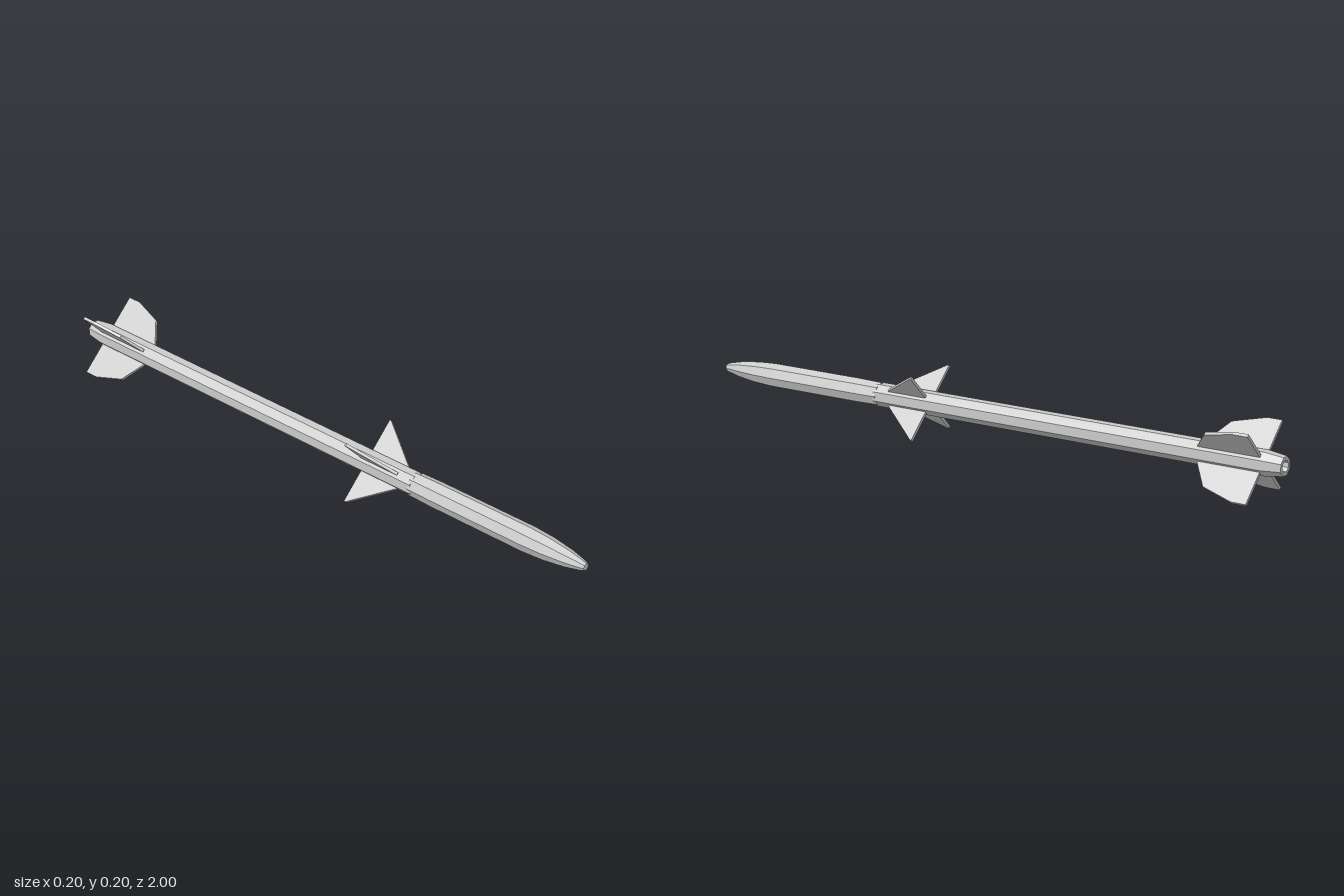
import * as THREE from 'three';

const AXIS_Y = 0.101;
const material = new THREE.MeshStandardMaterial({ color: 0xcccccc, flatShading: true });

// Eight-sided body section running along z, from [radius, z] pairs ordered back to front
function bodySection(name, profile, turn) {
  const points = profile.map(([r, z]) => new THREE.Vector2(r, z));
  const geometry = new THREE.LatheGeometry(points, 8, turn).rotateX(Math.PI / 2);
  const mesh = new THREE.Mesh(geometry, material);
  mesh.name = name;
  return mesh;
}

// Four flat fins in an X, from a [radius, z] outline
function finSet(name, outline, thickness) {
  const set = new THREE.Group();
  set.name = name + 's';
  const shape = new THREE.Shape(outline.map(([r, z]) => new THREE.Vector2(r, z)));
  const geometry = new THREE.ExtrudeGeometry(shape, { depth: thickness, bevelEnabled: false });
  geometry.translate(0, 0, -thickness / 2).rotateX(Math.PI / 2);
  for (let i = 0; i < 4; i++) {
    const fin = new THREE.Mesh(geometry, material);
    fin.name = name;
    fin.rotation.z = Math.PI / 4 + (i * Math.PI) / 2;
    set.add(fin);
  }
  return set;
}

export function createModel() {
  const model = new THREE.Group();
  model.name = 'finnedRocket';
  const assembly = new THREE.Group();
  assembly.name = 'airframe';
  assembly.position.y = AXIS_Y;
  model.add(assembly);

  // Pointed nose and forward tube
  assembly.add(bodySection('noseSection', [
    [0, 0.38], [0.037, 0.38], [0.039, 0.46], [0.039, 0.8], [0.035, 0.87],
    [0.026, 0.94], [0.015, 0.99], [0.011, 1], [0, 1],
  ], 0));

  // Long rear tube, tapered tail and recessed nozzle
  assembly.add(bodySection('rearSection', [
    [0, -0.97], [0.016, -0.97], [0.018, -1], [0.029, -1], [0.037, -0.94],
    [0.037, 0.39], [0, 0.39],
  ], Math.PI / 8));

  // Triangular forward fins
  assembly.add(finSet('forwardFin', [
    [0.025, 0.195], [0.136, 0.195], [0.136, 0.2], [0.036, 0.335], [0.025, 0.335],
  ], 0.009));

  // Broad tail fins with a swept, clipped leading edge
  assembly.add(finSet('tailFin', [
    [0.025, -0.936], [0.138, -0.936], [0.138, -0.89], [0.108, -0.79],
    [0.038, -0.742], [0.025, -0.742],
  ], 0.009));

  return model;
}
